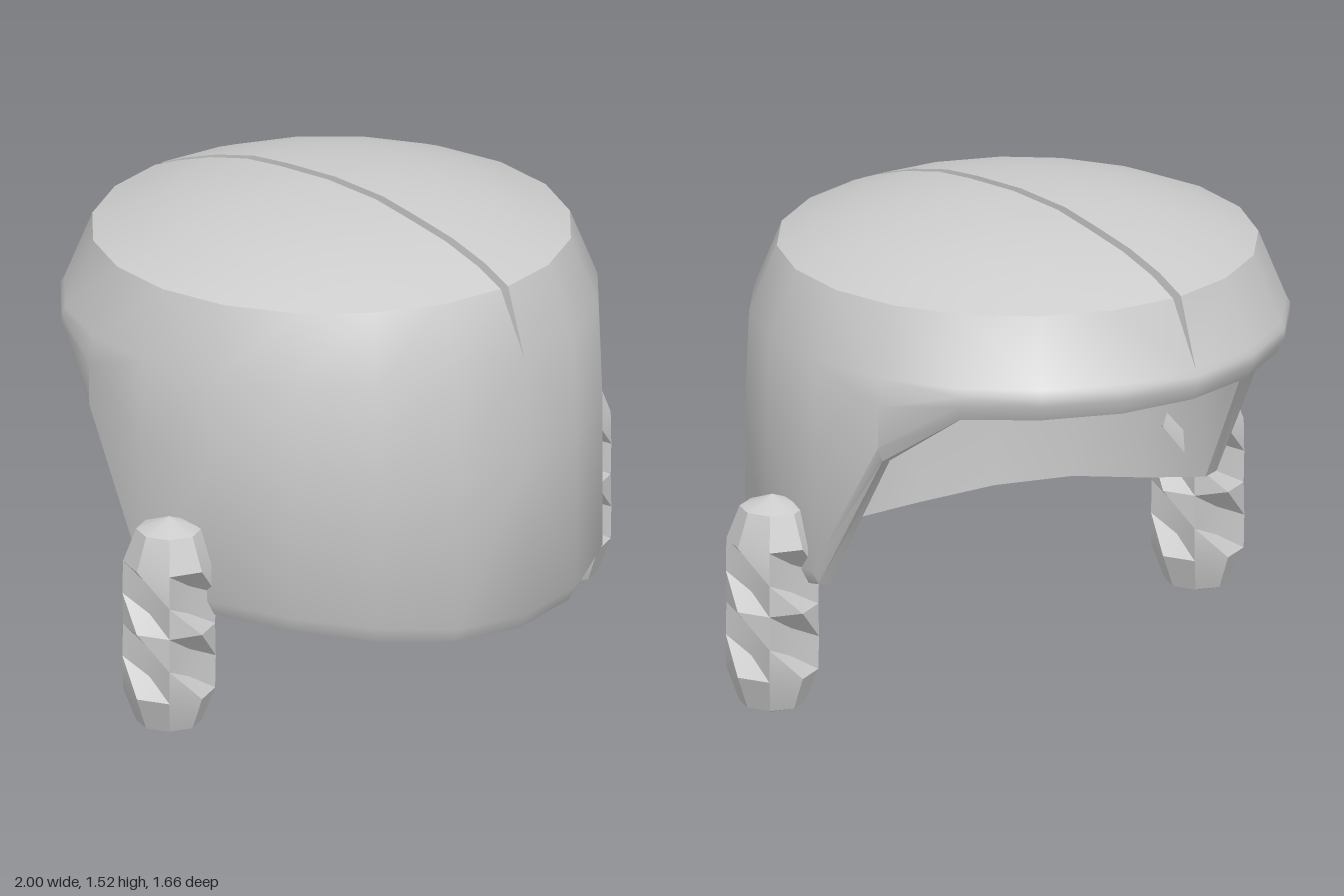
import * as THREE from 'three';
import { toCreasedNormals } from 'three/addons/utils/BufferGeometryUtils.js';

const lerp = THREE.MathUtils.lerp;
const clamp = THREE.MathUtils.clamp;
const HALF_SEGMENTS = 10;

// Height of the lower hem for each 18 degree step, from the long +z side round to -z
const HEM = [0.27, 0.28, 0.315, 0.35, 0.375, 0.43, 0.88, 1.045, 1.05, 1.05, 1.05];

// Closed section [radius, y]: over the dome, down outside, round the hem, up inside
const OUTER_TOP = [[0, 1.525], [0.2, 1.515], [0.35, 1.495], [0.5, 1.46], [0.63, 1.415], [0.735, 1.37], [0.82, 1.16]];
const INNER_TOP = [[0, 1.42], [0.2, 1.42], [0.33, 1.42], [0.36, 1.24], [0.5, 1.225], [0.64, 1.17], [0.72, 1.1]];

function section(hem) {
  return [
    ...OUTER_TOP,
    [0.832, lerp(1.16, hem + 0.06, 0.4)],
    [0.832, hem + 0.06],
    [0.805, hem + 0.01],
    [0.76, hem],
    [0.76, lerp(1.1, hem, 0.4)],
    ...[...INNER_TOP].reverse(),
  ];
}

// Hair shell: two halves joined below, parted by a jagged slit above
function hairShell() {
  const pos = [];
  const tri = (a, b, c, flip) => pos.push(...a, ...(flip ? c : b), ...(flip ? b : c));
  const quad = (a, b, c, d, flip) => {
    tri(a, b, c, flip);
    tri(a, c, d, flip);
  };
  for (const side of [1, -1]) {
    const columns = HEM.map((hem, i) => {
      const angle = (i / HALF_SEGMENTS) * Math.PI;
      return section(hem).map(([r, y]) => {
        const z = r * Math.cos(angle);
        const open = clamp((y - 1.16) / 0.12, 0, 1);
        const edge = open * (0.016 + side * 0.006 * Math.sin(z * 13));
        const x = i % HALF_SEGMENTS === 0 ? edge : Math.max(r * Math.sin(angle), edge);
        return [side * x, y, z];
      });
    });
    const n = columns[0].length;
    for (let i = 0; i < HALF_SEGMENTS; i++) {
      const p = columns[i], q = columns[i + 1];
      for (let j = 0; j < n - 1; j++) quad(p[j], p[j + 1], q[j + 1], q[j], side < 0);
    }
    // Walls of the slit at both ends of the half
    for (const end of [0, HALF_SEGMENTS]) {
      const c = columns[end];
      for (let j = 0; j < OUTER_TOP.length - 1; j++) {
        quad(c[j], c[n - 1 - j], c[n - 2 - j], c[j + 1], (end > 0) !== (side < 0));
      }
    }
  }
  const geometry = new THREE.BufferGeometry();
  geometry.setAttribute('position', new THREE.Float32BufferAttribute(pos, 3));
  return toCreasedNormals(geometry, 0.7);
}

// Braid: eight-sided bulges with notched waists
function braidGeometry() {
  const profile = [
    [0, 0.005], [0.1, 0.04], [0.14, 0.145],
    [0.1, 0.25], [0.1, 0.25], [0.14, 0.355],
    [0.1, 0.455], [0.1, 0.455], [0.14, 0.56],
    [0.1, 0.665], [0, 0.705],
  ].map(([r, y]) => new THREE.Vector2(r, y));
  const geometry = new THREE.LatheGeometry(profile, 8);
  const p = geometry.attributes.position;
  const waists = { 3: -1, 4: 1, 6: -1, 7: 1 };
  for (let k = 0; k < p.count; k++) {
    const row = k % profile.length;
    if (!(row in waists)) continue;
    const onAxis = Math.floor(k / profile.length) % 2 === 0;
    const scale = onAxis ? 0.85 : 1.42;
    p.setXYZ(k, p.getX(k) * scale, p.getY(k) + (onAxis ? waists[row] * 0.045 : 0), p.getZ(k) * scale);
  }
  geometry.deleteAttribute('normal');
  geometry.deleteAttribute('uv');
  return toCreasedNormals(geometry, 0.4);
}

export function createModel() {
  const group = new THREE.Group();
  group.name = 'hairpiece';
  const material = new THREE.MeshStandardMaterial({ color: 0xcccccc });

  const shell = new THREE.Mesh(hairShell(), material);
  shell.name = 'hairShell';
  group.add(shell);

  const braid = braidGeometry();
  for (const side of [1, -1]) {
    const mesh = new THREE.Mesh(braid, material);
    mesh.name = side > 0 ? 'leftBraid' : 'rightBraid';
    mesh.position.set(side * 0.86, 0, 0.15);
    group.add(mesh);
  }
  return group;
}
